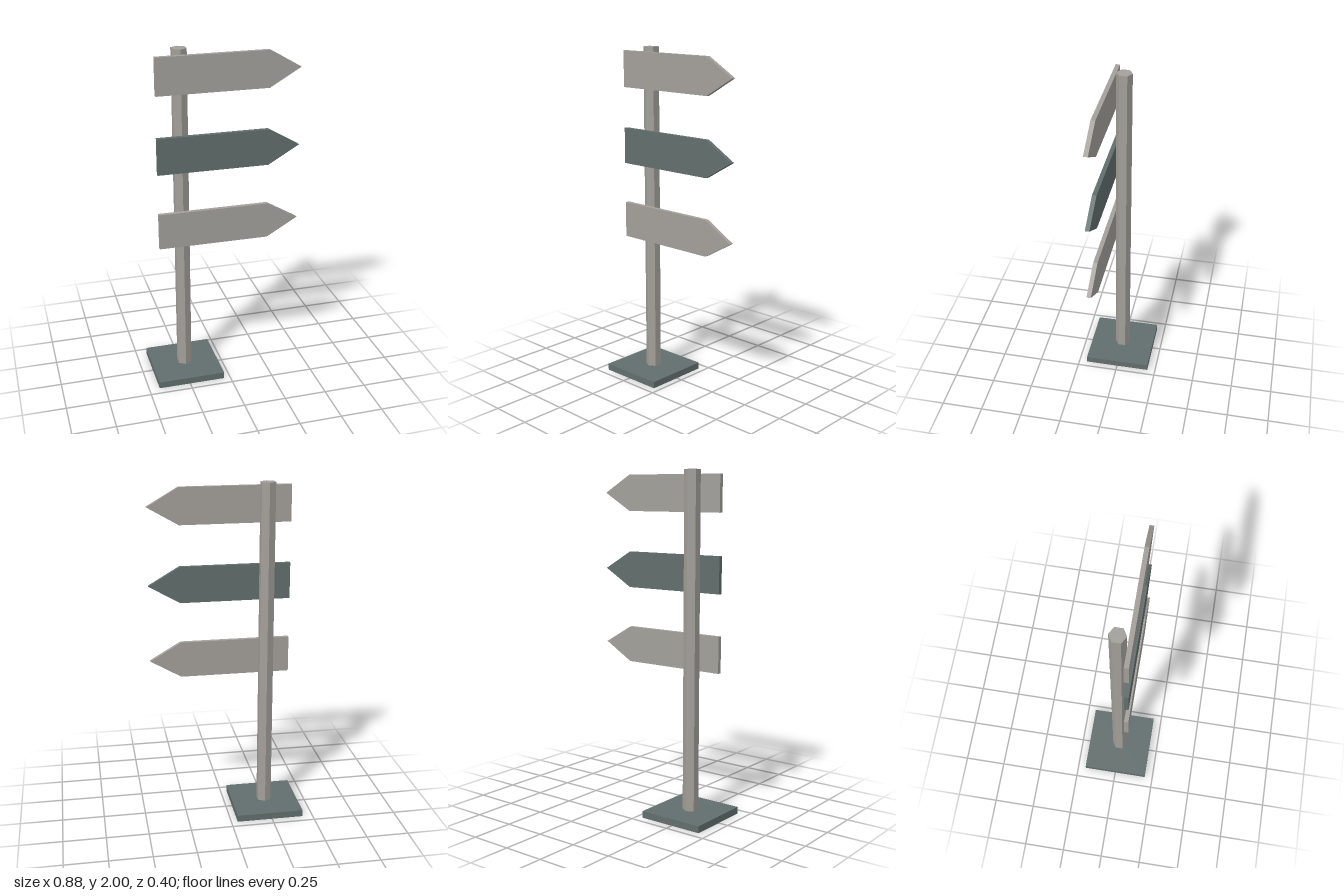
import * as THREE from 'three';

export function createModel() {
  const group = new THREE.Group();
  const material = (name, color) => {
    const m = new THREE.MeshStandardMaterial({ color, flatShading: true });
    m.name = name;
    return m;
  };
  const stone = material('warm grey', 0xa3a09b);
  const slate = material('dark slate', 0x616e6d);

  const add = (name, geometry, mat, x, y, z) => {
    const mesh = new THREE.Mesh(geometry, mat);
    mesh.name = name;
    mesh.position.set(x, y, z);
    group.add(mesh);
  };

  // Square foot plate and hexagonal post
  const postX = -0.238;
  add('base', new THREE.BoxGeometry(0.4, 0.04, 0.4), slate, postX, 0.02, 0);
  add('post', new THREE.CylinderGeometry(0.046, 0.046, 1.96, 6), stone, postX, 1.02, 0);

  // Arrow-shaped board, pointing to +x
  const h = 0.106;
  const arrow = new THREE.Shape([
    new THREE.Vector2(-0.387, -h),
    new THREE.Vector2(0.257, -h),
    new THREE.Vector2(0.438, 0),
    new THREE.Vector2(0.257, h),
    new THREE.Vector2(-0.387, h),
  ]);
  const board = new THREE.ExtrudeGeometry(arrow, { depth: 0.025, bevelEnabled: false });

  // Three boards in front of the post, the middle one dark
  ['lowerSign', 'middleSign', 'upperSign'].forEach((name, i) => {
    add(name, board, i === 1 ? slate : stone, 0, 0.964 + i * 0.452, 0.053);
  });

  return group;
}
